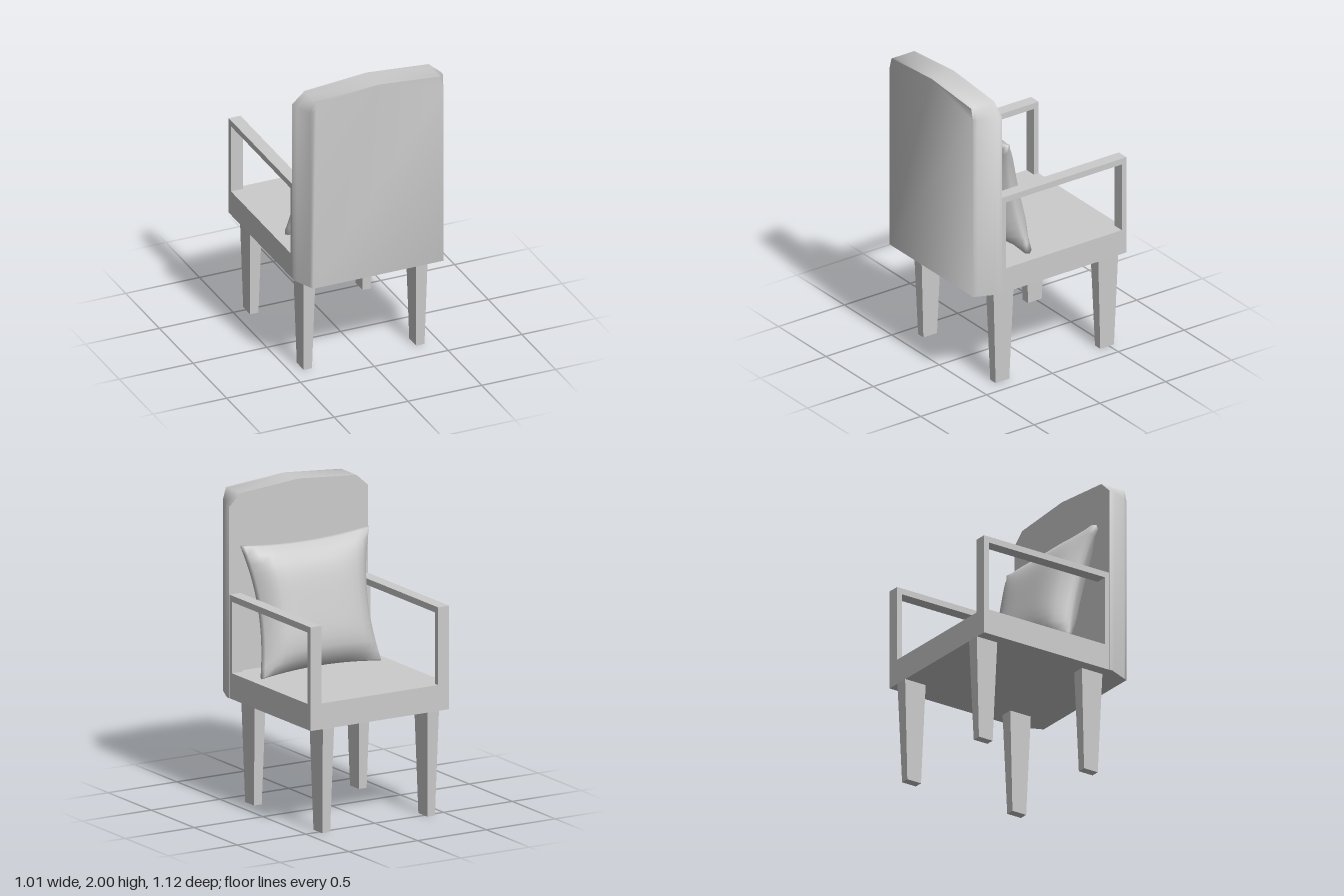
import * as THREE from 'three';
import { mergeVertices, toCreasedNormals } from 'three/addons/utils/BufferGeometryUtils.js';

const material = new THREE.MeshStandardMaterial({ color: 0xcccccc });

function addMesh(parent, name, geometry, x = 0, y = 0, z = 0) {
  const mesh = new THREE.Mesh(geometry, material);
  mesh.name = name;
  mesh.position.set(x, y, z);
  parent.add(mesh);
  return mesh;
}

// Move every vertex of a geometry by a rule
function reshape(geometry, rule) {
  const p = geometry.attributes.position;
  const v = new THREE.Vector3();
  for (let i = 0; i < p.count; i++) {
    rule(v.fromBufferAttribute(p, i));
    p.setXYZ(i, v.x, v.y, v.z);
  }
  geometry.computeVertexNormals();
  return geometry;
}

function polygon(points, Type = THREE.Shape) {
  return new Type(points.map(([x, y]) => new THREE.Vector2(x, y)));
}

// Backrest: crowned outline whose sides taper in towards the rear face
function backrestGeometry() {
  const outline = polygon([
    [-0.505, 0.67], [0.505, 0.67], [0.505, 1.89], [0.42, 1.965],
    [0, 2], [-0.42, 1.965], [-0.505, 1.89],
  ]);
  const geometry = new THREE.ExtrudeGeometry(outline, { depth: 0.175, steps: 7, bevelEnabled: false });
  reshape(geometry, (v) => {
    const limit = 0.505 - 0.43 * Math.max(0, v.z - 0.025);
    v.x = THREE.MathUtils.clamp(v.x, -limit, limit);
  });
  return toCreasedNormals(geometry, 1.25);
}

// Arm frame: seat side, posts and armrest around one opening
function armGeometry() {
  const frame = polygon([[-0.56, 0.67], [0.39, 0.67], [0.39, 1.33], [-0.56, 1.33]]);
  frame.holes.push(polygon([[-0.525, 0.835], [-0.525, 1.29], [0.355, 1.29], [0.355, 0.835]], THREE.Path));
  return new THREE.ExtrudeGeometry(frame, { depth: 0.08, bevelEnabled: false });
}

// Tapered square-edged leg
function legGeometry() {
  return reshape(new THREE.BoxGeometry(0.082, 0.67, 0.155), (v) => {
    if (v.y < 0) {
      v.x *= 0.68;
      v.z *= 0.67;
    }
  });
}

// Cushion: plump centre, thin rim, edges drawn in between the four corners
function cushionGeometry() {
  let geometry = new THREE.BoxGeometry(2, 2, 2, 14, 14, 2);
  geometry.deleteAttribute('uv');
  geometry.deleteAttribute('normal');
  geometry = mergeVertices(geometry);
  return reshape(geometry, (v) => {
    const { x: u, y: w, z: side } = v;
    const plump = Math.pow((1 - u ** 4) * (1 - w ** 4), 0.7);
    const rim = 1 + 0.025 * (1 - Math.abs(side));
    v.x = (0.438 + 0.015 * w) * u * (1 - 0.13 * (1 - w * w)) * rim;
    v.y = 0.408 * w * (1 - 0.07 * (1 - u * u)) * rim;
    v.z = side * (0.025 + 0.105 * plump);
  });
}

export function createModel() {
  const chair = new THREE.Group();
  chair.name = 'armchair';

  addMesh(chair, 'backrest', backrestGeometry(), 0, 0, 0.385);
  addMesh(chair, 'seat', new THREE.BoxGeometry(0.86, 0.165, 0.95), 0, 0.7525, -0.085);

  // Arms, left and right
  const arm = armGeometry();
  addMesh(chair, 'leftArm', arm, 0.503, 0, 0).rotation.y = -Math.PI / 2;
  addMesh(chair, 'rightArm', arm, -0.423, 0, 0).rotation.y = -Math.PI / 2;

  // Four legs
  const leg = legGeometry();
  for (const [side, x] of [['left', 0.375], ['right', -0.387]]) {
    addMesh(chair, side + 'LegBySeatEdge', leg, x, 0.335, -0.485);
    addMesh(chair, side + 'LegByBackrest', leg, x, 0.335, 0.31);
  }

  // Cushion leaning on the backrest
  addMesh(chair, 'cushion', cushionGeometry(), 0, 1.245, 0.22).rotation.x = 0.23;

  return chair;
}
